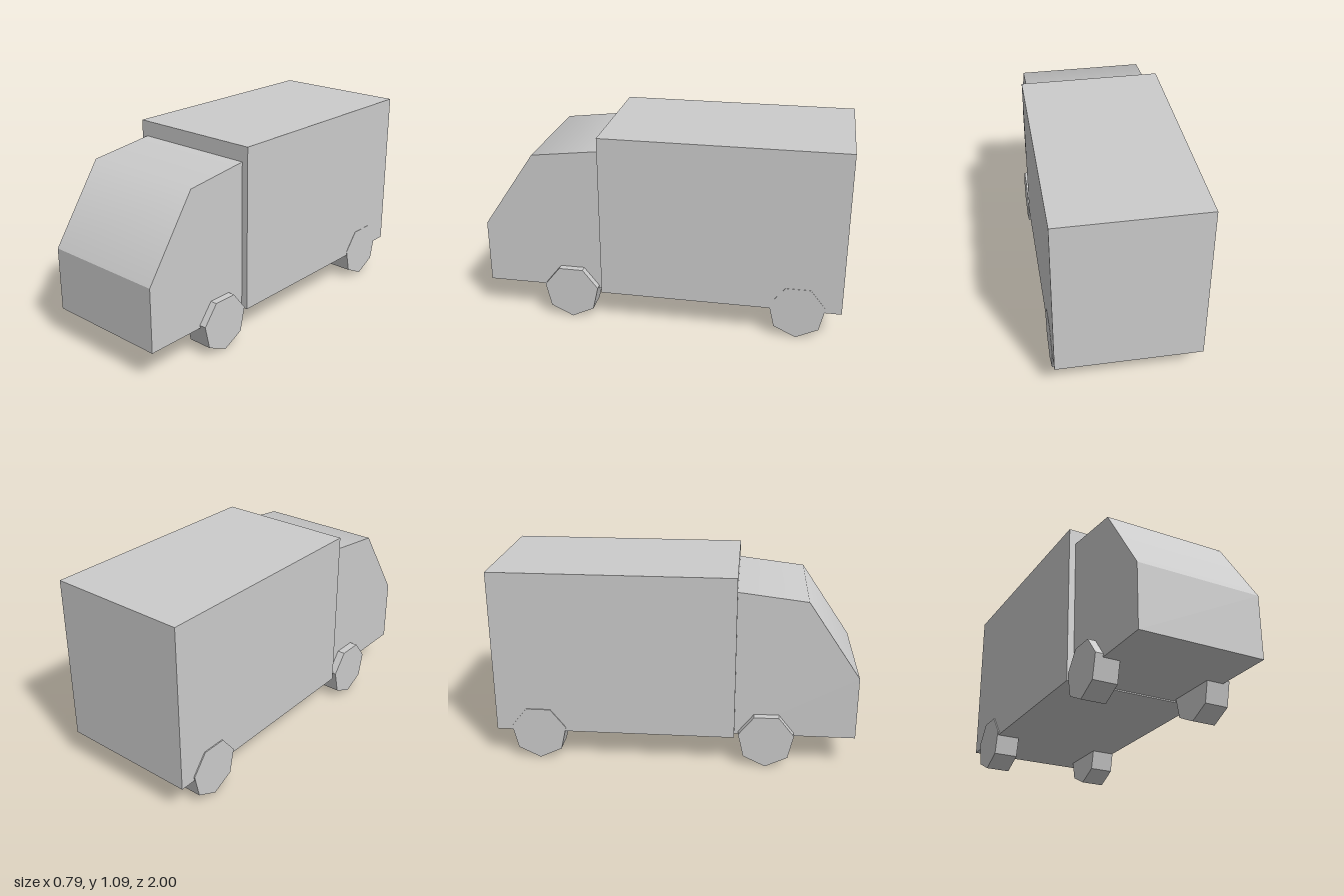
import * as THREE from 'three';

const material = new THREE.MeshStandardMaterial({ color: 0xcccccc });
const flat = new THREE.MeshStandardMaterial({ color: 0xcccccc, flatShading: true });

function addMesh(parent, name, geometry, mat) {
  const mesh = new THREE.Mesh(geometry, mat);
  mesh.name = name;
  parent.add(mesh);
  return mesh;
}

// Side profile (z, y) extruded across the width, with the windshield blending softly into the roof
function cabGeometry() {
  const profile = [[0.335, 0.175], [1, 0.175], [1, 0.53], [0.71, 0.955], [0.335, 1]];
  const shape = new THREE.Shape(profile.map(([z, y]) => new THREE.Vector2(z, y)));
  const geometry = new THREE.ExtrudeGeometry(shape, { depth: 0.707, bevelEnabled: false });
  geometry.rotateY(-Math.PI / 2).translate(0.356, 0, 0);

  const { position, normal } = geometry.attributes;
  const blend = new THREE.Vector3(0, 0.89, 0.46).normalize();
  for (let i = 0; i < position.count; i++) {
    const onCrease = Math.abs(position.getY(i) - 0.955) < 0.001;
    if (onCrease && normal.getY(i) > 0.3) normal.setXYZ(i, blend.x, blend.y, blend.z);
  }
  return geometry;
}

export function createModel() {
  const group = new THREE.Group();
  group.name = 'boxTruck';

  // Cargo box
  const cargo = addMesh(group, 'cargoBox', new THREE.BoxGeometry(0.781, 0.918, 1.335), flat);
  cargo.position.set(0.002, 0.627, -0.3325);

  // Cab
  addMesh(group, 'cab', cabGeometry(), material);

  // Seven-sided wheels, one corner pointing down
  const wheel = new THREE.CylinderGeometry(0.157, 0.157, 0.138, 7, 1, false, -Math.PI / 2);
  wheel.rotateZ(Math.PI / 2);
  for (const [end, z] of [['front', 0.51], ['rear', -0.76]]) {
    for (const [side, x] of [['Left', 0.3255], ['Right', -0.3255]]) {
      addMesh(group, `${end}${side}Wheel`, wheel, flat).position.set(x, 0.157, z);
    }
  }
  return group;
}
